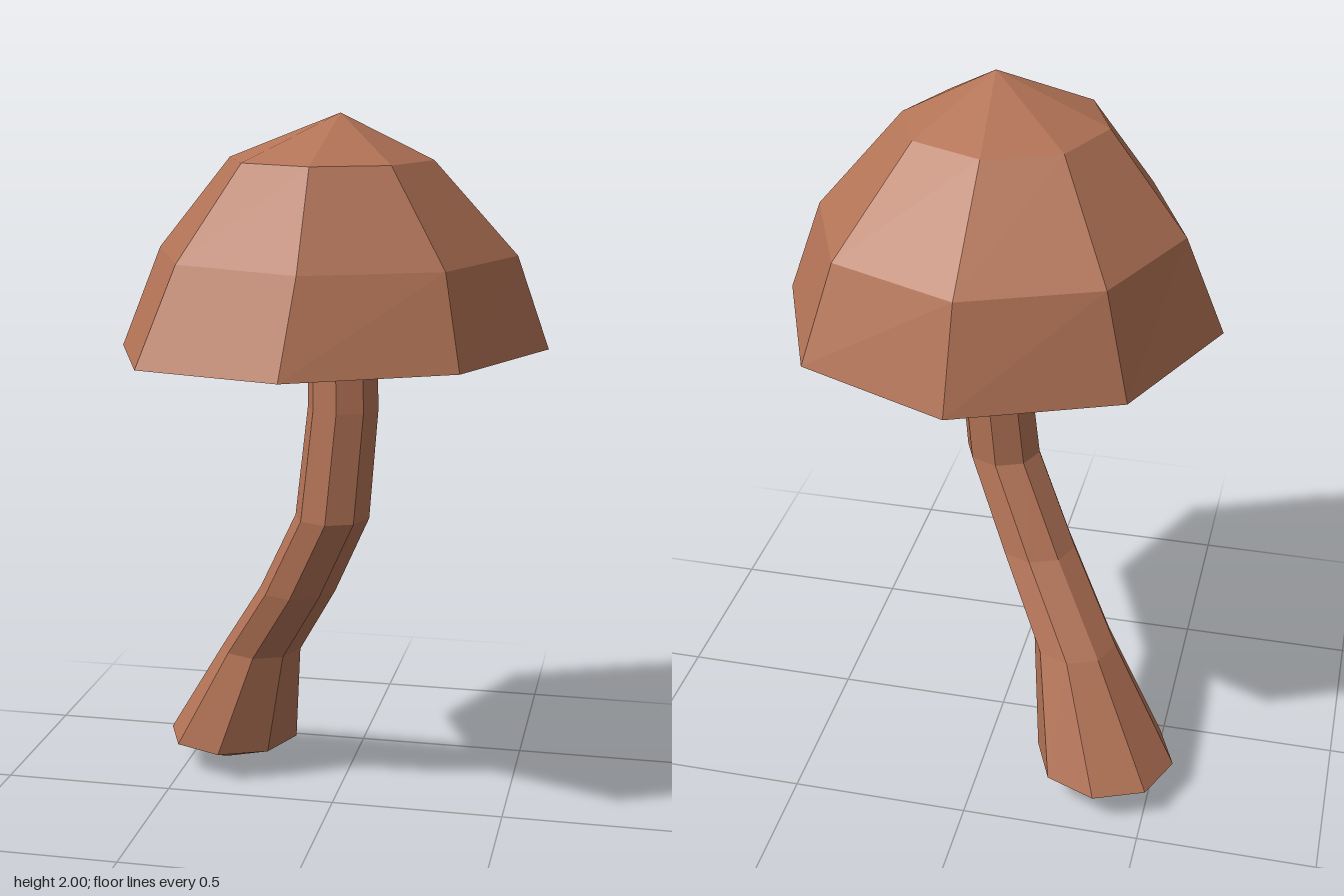
import * as THREE from 'three';

const SIDES = 8;

// Skin a stack of octagonal rings; a ring of radius 0 closes to a point.
// Each ring: [centreX, y, centreZ, radius, lean], lean tips the ring slightly.
function loft(rings) {
  const point = ([cx, y, cz, r, lean = 0], i) => {
    const a = (i / SIDES) * Math.PI * 2;
    const x = r * Math.cos(a), z = r * Math.sin(a);
    return [cx + x - 1.3 * lean * z, y + lean * (x + z), cz + z - 1.5 * lean * x];
  };
  const pos = [];
  for (let k = 0; k < rings.length - 1; k++) {
    const low = rings[k], high = rings[k + 1];
    for (let i = 0; i < SIDES; i++) {
      const a = point(low, i), b = point(low, i + 1);
      const c = point(high, i), d = point(high, i + 1);
      if (low[3] > 0) pos.push(...a, ...c, ...b);
      if (high[3] > 0) pos.push(...b, ...c, ...d);
    }
  }
  const geo = new THREE.BufferGeometry();
  geo.setAttribute('position', new THREE.Float32BufferAttribute(pos, 3));
  geo.computeVertexNormals();
  return geo;
}

export function createModel() {
  const group = new THREE.Group();
  group.name = 'mushroom';
  const terracotta = new THREE.MeshStandardMaterial({ color: 0xb37356, flatShading: true });
  terracotta.name = 'terracotta';

  const add = (name, rings) => {
    const mesh = new THREE.Mesh(loft(rings), terracotta);
    mesh.name = name;
    group.add(mesh);
  };

  // Bent stem, flared at the foot, with a pointed underside
  add('stem', [
    [-0.385, 0, -0.28, 0],
    [-0.365, 0.09, -0.268, 0.198],
    [-0.25, 0.41, -0.17, 0.118],
    [-0.11, 0.64, -0.04, 0.11],
    [0.01, 0.888, 0.05, 0.105],
    [0.04, 1.2, 0.048, 0.099],
    [0.036, 1.37, 0.038, 0.097],
    [0.03, 1.56, 0.03, 0.095],
    [0.03, 1.57, 0.03, 0],
  ]);

  // Cap: hollow underside, rim, dome and off-centre tip
  add('cap', [
    [0.03, 1.56, 0.03, 0],
    [-0.002, 1.358, -0.002, 0.596, 0.02],
    [0.008, 1.623, -0.008, 0.498],
    [0.008, 1.878, 0.057, 0.278],
    [0.04, 2, 0.09, 0],
  ]);

  return group;
}
